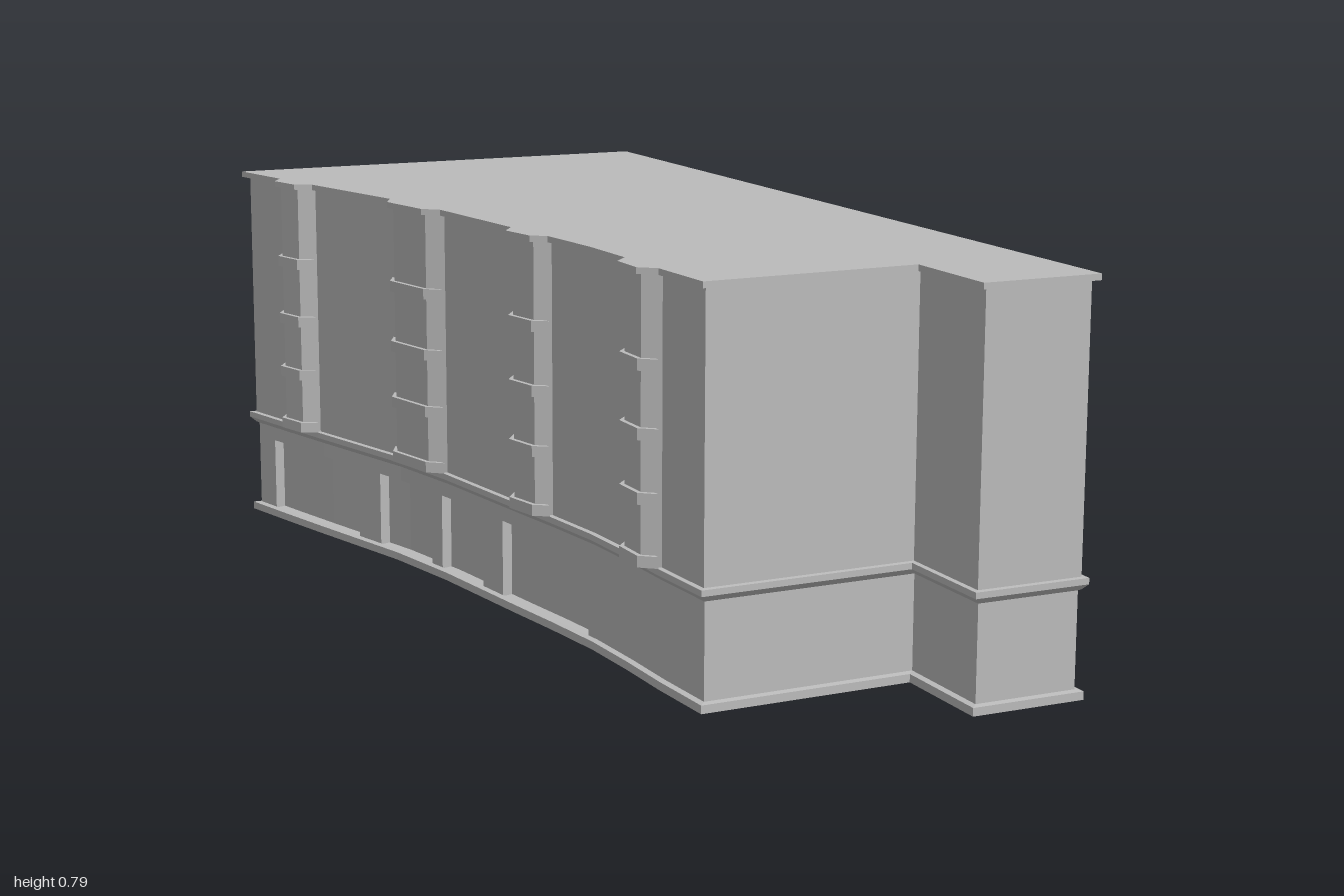
import * as THREE from 'three';

const stone = new THREE.MeshStandardMaterial({ color: 0xbbbbbb, side: THREE.DoubleSide, flatShading: true });
stone.name = 'grey stone';

// Plan points [x, z], running down the curved street side, then round the front and the flat side
const streetBays = [
  [[-0.437, -0.843], [-0.46, -0.806], [-0.44, -0.732], [-0.405, -0.716]],
  [[-0.33, -0.43], [-0.352, -0.387], [-0.325, -0.26], [-0.294, -0.233]],
  [[-0.257, 0.053], [-0.283, 0.09], [-0.267, 0.17], [-0.238, 0.19]],
  [[-0.214, 0.488], [-0.243, 0.52], [-0.243, 0.6], [-0.212, 0.626]],
];
const backCorner = [-0.475, -1];
const bend = [-0.22, 0.345];
const rest = [[-0.204, 0.788], [0.227, 0.78], [0.227, 1], [0.467, 1], [0.47, -0.992]];
const [b1, b2, b3, b4] = streetBays;
const bayPlan = [backCorner, ...b1, ...b2, ...b3, bend, ...b4, ...rest];
const ends = (b) => [b[0], b[3]];
const plainPlan = [backCorner, ...ends(b1), ...ends(b2), ...ends(b3), bend, ...ends(b4), ...rest];
const streetCount = plainPlan.length - 4; // points on the street side

// Move a closed plan outward by d with mitred corners
function offset(plan, d) {
  const n = plan.length;
  const normal = (p, q) => {
    const ex = q[0] - p[0], ez = q[1] - p[1], l = Math.hypot(ex, ez);
    return [-ez / l, ex / l];
  };
  return plan.map((p, i) => {
    const a = normal(plan[(i + n - 1) % n], p), b = normal(p, plan[(i + 1) % n]);
    const k = d / (1 + a[0] * b[0] + a[1] * b[1]);
    return [p[0] + (a[0] + b[0]) * k, p[1] + (a[1] + b[1]) * k];
  });
}

// Skin a stack of closed rings, each { plan, y }
function loft(name, rings) {
  const pos = [];
  for (let r = 0; r + 1 < rings.length; r++) {
    const lo = rings[r], hi = rings[r + 1], n = lo.plan.length;
    for (let i = 0; i < n; i++) {
      const j = (i + 1) % n;
      const at = (ring, k) => new THREE.Vector3(ring.plan[k][0], ring.y, ring.plan[k][1]);
      const a = at(lo, i), b = at(lo, j), c = at(hi, j), d = at(hi, i);
      for (const t of [[a, b, c], [a, c, d]]) {
        if (new THREE.Triangle(...t).getArea() > 1e-8) t.forEach((v) => pos.push(v.x, v.y, v.z));
      }
    }
  }
  const g = new THREE.BufferGeometry();
  g.setAttribute('position', new THREE.Float32BufferAttribute(pos, 3));
  g.computeVertexNormals();
  return named(name, g);
}

function named(name, geometry) {
  const m = new THREE.Mesh(geometry, stone);
  m.name = name;
  return m;
}

// Flat slab with the given plan
function slab(name, plan, y, height) {
  const shape = new THREE.Shape(plan.map(([x, z]) => new THREE.Vector2(x, -z)));
  const g = new THREE.ExtrudeGeometry(shape, { depth: height, bevelEnabled: false });
  g.rotateX(-Math.PI / 2);
  g.translate(0, y, 0);
  return named(name, g);
}

// Ground floor wall with shopfronts set back from the street
function groundWall() {
  const wall = offset(plainPlan, -0.016);
  const street = wall.slice(0, streetCount);
  const shops = [[-0.92, -0.59], [-0.51, -0.31], [-0.27, -0.1], [-0.02, 0.31]];
  const xAt = (z) => {
    const i = Math.max(1, street.findIndex((p) => p[1] >= z));
    const [p, q] = [street[i - 1], street[i]];
    return p[0] + (q[0] - p[0]) * (z - p[1]) / (q[1] - p[1]);
  };
  const points = street.map(([x, z]) => ({ x, z, deep: shops.some(([s, e]) => z > s && z < e) }));
  for (const [s, e] of shops) {
    points.push({ x: xAt(s), z: s, deep: false }, { x: xAt(s), z: s + 1e-5, deep: true });
    points.push({ x: xAt(e), z: e - 1e-5, deep: true }, { x: xAt(e), z: e, deep: false });
  }
  points.sort((p, q) => p.z - q.z);
  const tail = wall.slice(streetCount);
  const plan = (depth) => [...points.map((p) => [p.x + (p.deep ? depth : 0), p.z]), ...tail];
  return loft('groundFloorWall', [
    { plan: plan(0), y: 0.028 }, { plan: plan(0.02), y: 0.03 },
    { plan: plan(0.02), y: 0.185 }, { plan: plan(0), y: 0.185 }, { plan: plan(0), y: 0.216 },
  ]);
}

// Strip below the plinth on the flat side, following the sloping ground
function footing() {
  const s = new THREE.Shape();
  s.moveTo(-0.985, 0.014);
  [[-0.55, 0.005], [0, 0], [0.55, 0.005], [0.985, 0.014]].forEach(([z, y]) => s.lineTo(z, y));
  const m = named('footing', new THREE.ShapeGeometry(s));
  m.rotation.y = Math.PI / 2;
  m.position.x = 0.467;
  return m;
}

export function createModel() {
  const group = new THREE.Group();
  group.name = 'cornerBuilding';
  const ring = (plan, d, y) => ({ plan: offset(plan, d), y });

  // Plinth, ground floor and belt course
  group.add(loft('plinth', [
    ring(plainPlan, -0.004, 0.012), ring(plainPlan, -0.004, 0.028), ring(plainPlan, -0.016, 0.03),
  ]));
  group.add(footing(), groundWall());
  group.add(loft('beltCourse', [
    ring(plainPlan, -0.016, 0.215), ring(plainPlan, -0.012, 0.217), ring(plainPlan, -0.002, 0.228),
    ring(plainPlan, -0.002, 0.24), ring(plainPlan, -0.014, 0.241),
  ]));

  // Upper floors with bay windows
  group.add(loft('upperWall', [ring(bayPlan, -0.012, 0.24), ring(bayPlan, -0.012, 0.78)]));

  // Ledges round each bay at every floor
  const ledgePlan = offset(bayPlan, -0.003);
  for (const first of [1, 5, 9, 14]) {
    for (const y of [0.24, 0.357, 0.476, 0.603]) {
      group.add(slab('bayLedge', ledgePlan.slice(first, first + 4), y, 0.022));
    }
  }

  // Roof slab with overhanging cornice
  group.add(slab('roof', bayPlan, 0.778, 0.012));
  return group;
}
